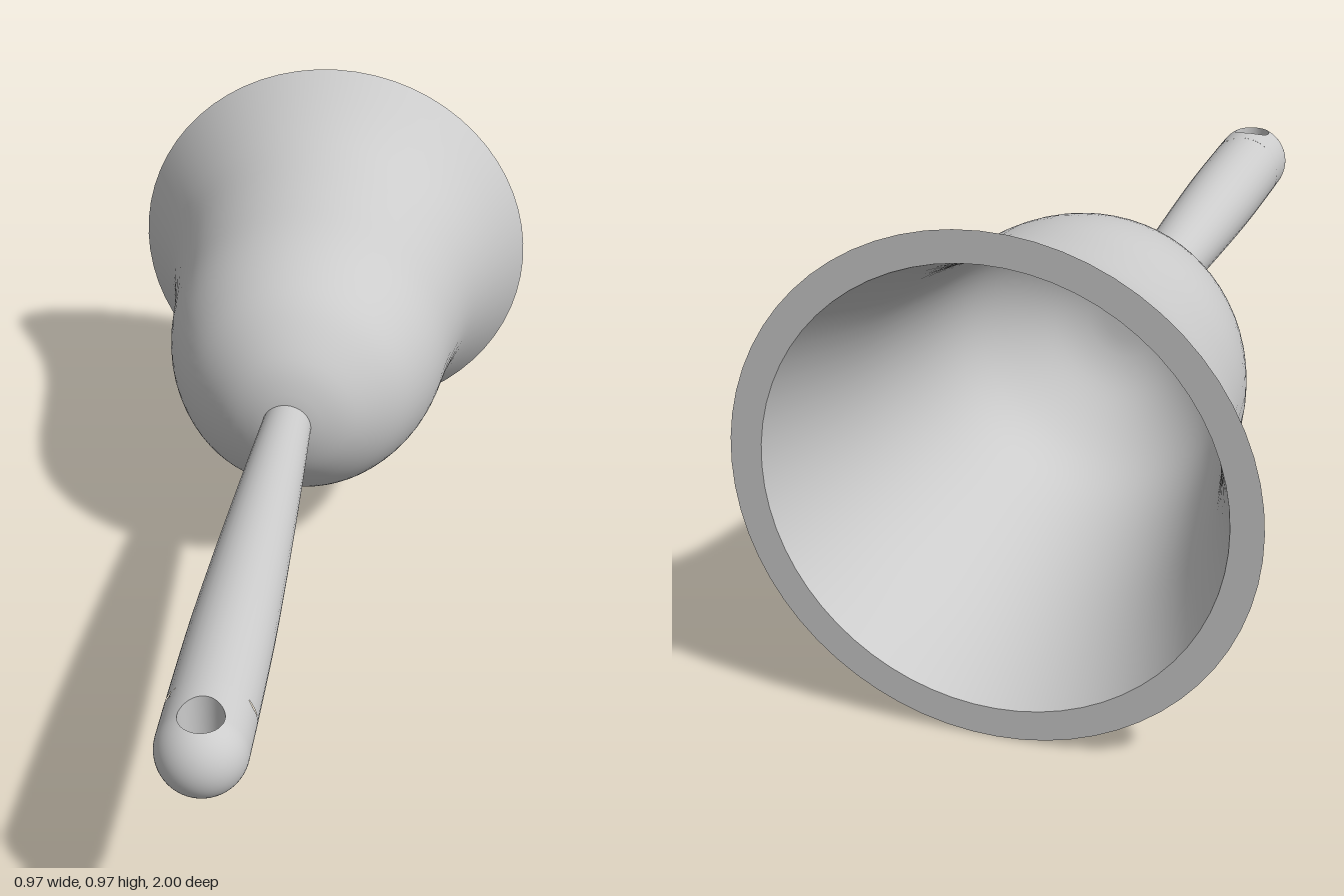
import * as THREE from 'three';

const AXIS_Y = 0.484; // height of the bell's axis
const R = 0.087;      // handle end radius
const HOLE_R = 0.043; // hanging hole radius
const END_Z = 1 - R;  // centre of the rounded end and of the hole

const material = new THREE.MeshStandardMaterial({ color: 0xcccccc });

// Surface of revolution about z from [radius, z] points, listed from -z to +z for outward faces
function turned(name, points, smooth, segments = 64) {
  let profile = points.map(([r, z]) => new THREE.Vector2(r, z));
  if (smooth) {
    profile = new THREE.SplineCurve(profile).getPoints(40);
    profile.forEach((p) => { p.x = Math.max(0, p.x); });
  }
  const geometry = new THREE.LatheGeometry(profile, segments);
  geometry.rotateX(Math.PI / 2);
  const mesh = new THREE.Mesh(geometry, material);
  mesh.name = name;
  return mesh;
}

// Grid of points and normals, from sample(row, column) -> [position, normal]
function grid(name, rows, columns, sample, flip) {
  const positions = [], normals = [], index = [];
  for (let i = 0; i <= rows; i++) {
    for (let j = 0; j <= columns; j++) {
      const [p, n] = sample(i / rows, j / columns);
      positions.push(...p);
      normals.push(...n);
      if (i === rows || j === columns) continue;
      const a = i * (columns + 1) + j, b = a + columns + 1;
      if (flip) index.push(a, b, a + 1, a + 1, b, b + 1);
      else index.push(a, a + 1, b, a + 1, b + 1, b);
    }
  }
  const geometry = new THREE.BufferGeometry();
  geometry.setAttribute('position', new THREE.Float32BufferAttribute(positions, 3));
  geometry.setAttribute('normal', new THREE.Float32BufferAttribute(normals, 3));
  geometry.setIndex(index);
  const mesh = new THREE.Mesh(geometry, material);
  mesh.name = name;
  return mesh;
}

// Half thickness of the handle end: a cylinder running into a hemisphere
function halfHeight(x, dz) {
  return Math.sqrt(Math.max(0, R * R - x * x - Math.max(0, dz) ** 2));
}

// Upper or lower skin of the handle end, spreading from the hole to the outline
function endSkin(name, side) {
  return grid(name, 16, 64, (u, v) => {
    const a = v * Math.PI * 2, c = Math.cos(a), s = Math.sin(a);
    const reach = s >= 0 ? R : R / Math.max(Math.abs(c), Math.abs(s));
    const d = HOLE_R + (reach - HOLE_R) * Math.sin(u * Math.PI / 2);
    const x = d * c, dz = d * s, y = side * halfHeight(x, dz);
    const n = new THREE.Vector3(x, y, Math.max(0, dz)).normalize();
    return [[x, y, END_Z + dz], n.toArray()];
  }, side < 0);
}

export function createModel() {
  const model = new THREE.Group();

  // Bell: flared outer wall, flat rim and hollow inside
  const bell = new THREE.Group();
  bell.name = 'bell';
  bell.add(
    turned('outerWall', [
      [0.484, -1], [0.416, -0.88], [0.372, -0.77], [0.34, -0.61], [0.318, -0.447],
      [0.285, -0.34], [0.235, -0.255], [0.15, -0.182], [0.07, -0.15], [0, -0.143],
    ], true),
    turned('rim', [[0.425, -1], [0.484, -1]], false),
    turned('innerWall', [
      [0, -0.19], [0.07, -0.196], [0.14, -0.226], [0.215, -0.29], [0.265, -0.36],
      [0.295, -0.45], [0.322, -0.61], [0.352, -0.77], [0.382, -0.88], [0.425, -1],
    ], true),
  );

  // Handle: tapered shaft and rounded end with a hanging hole
  const handle = new THREE.Group();
  handle.name = 'handle';
  handle.add(
    turned('shaft', [
      [0.054, -0.16], [0.062, 0], [0.071, 0.2], [0.079, 0.4], [0.085, 0.6], [R, END_Z - R],
    ], true, 32),
    endSkin('handleEndTop', 1),
    endSkin('handleEndBottom', -1),
    grid('hangingHole', 1, 64, (u, v) => {
      const a = v * Math.PI * 2, c = Math.cos(a), s = Math.sin(a);
      const x = HOLE_R * c, dz = HOLE_R * s;
      return [[x, (2 * u - 1) * halfHeight(x, dz), END_Z + dz], [-c, 0, -s]];
    }, false),
  );

  model.add(bell, handle);
  model.position.y = 0;
  bell.position.y = handle.position.y = AXIS_Y;
  return model;
}
